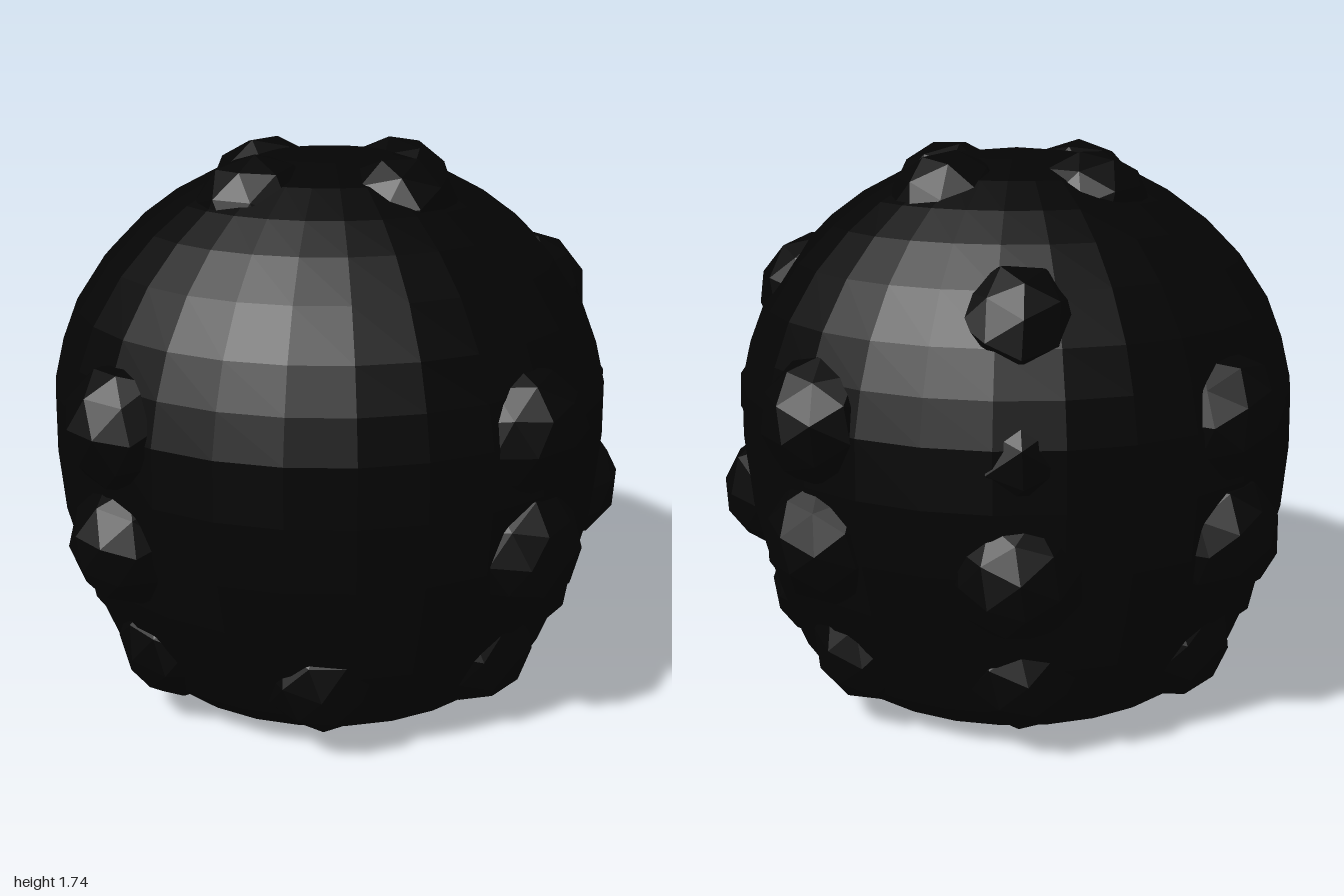
import * as THREE from 'three';

export function createModel() {
  const group = new THREE.Group();
  const material = new THREE.MeshStandardMaterial({ color: 0x040404, flatShading: true });

  // Body: shallow base, steep lower wall, then a round dome
  const profile = [
    [0, 0], [0.35, 0.02], [0.64, 0.045], [0.74, 0.14], [0.8, 0.3], [0.845, 0.45], [0.885, 0.62],
    [0.9, 0.82], [0.895, 1.0], [0.862, 1.13], [0.81, 1.26], [0.715, 1.4], [0.605, 1.51],
    [0.495, 1.59], [0.36, 1.66], [0.2, 1.71], [0, 1.73],
  ].map(([r, y]) => new THREE.Vector2(r, y));
  const body = new THREE.Mesh(new THREE.LatheGeometry(profile, 28), material);
  body.name = 'body';
  group.add(body);

  // Lumps: low-poly balls half sunk into the body
  const lumps = new THREE.Group();
  lumps.name = 'lumps';
  group.add(lumps);
  const ball = new THREE.IcosahedronGeometry(0.2, 1);
  const addLump = (name, radius, y, angle) => {
    const lump = new THREE.Mesh(ball, material);
    lump.name = name;
    lump.position.set(radius * Math.sin(angle), y, radius * Math.cos(angle));
    lump.rotation.set(0.4 * y, angle, 0.3);
    lumps.add(lump);
  };

  // Crown and two waist rows on the four sides
  for (let i = 0; i < 4; i++) {
    const angle = i * Math.PI / 2;
    addLump('crownLump', 0.3, 1.54, angle);
    addLump('upperWaistLump', 0.8, 1.0, angle);
    addLump('lowerWaistLump', 0.8, 0.64, angle);
  }

  // Ring around the foot
  for (let i = 0; i < 8; i++) addLump('footLump', 0.64, 0.26, i * Math.PI / 4);

  // Columns down the back corners
  for (const side of [-1, 1]) {
    const angle = side * Math.PI * 0.76;
    addLump('backShoulderLump', 0.63, 1.27, angle);
    addLump('backCornerLump', 0.715, 0.95, angle);
    addLump('backHipLump', 0.78, 0.61, angle);
  }
  return group;
}
